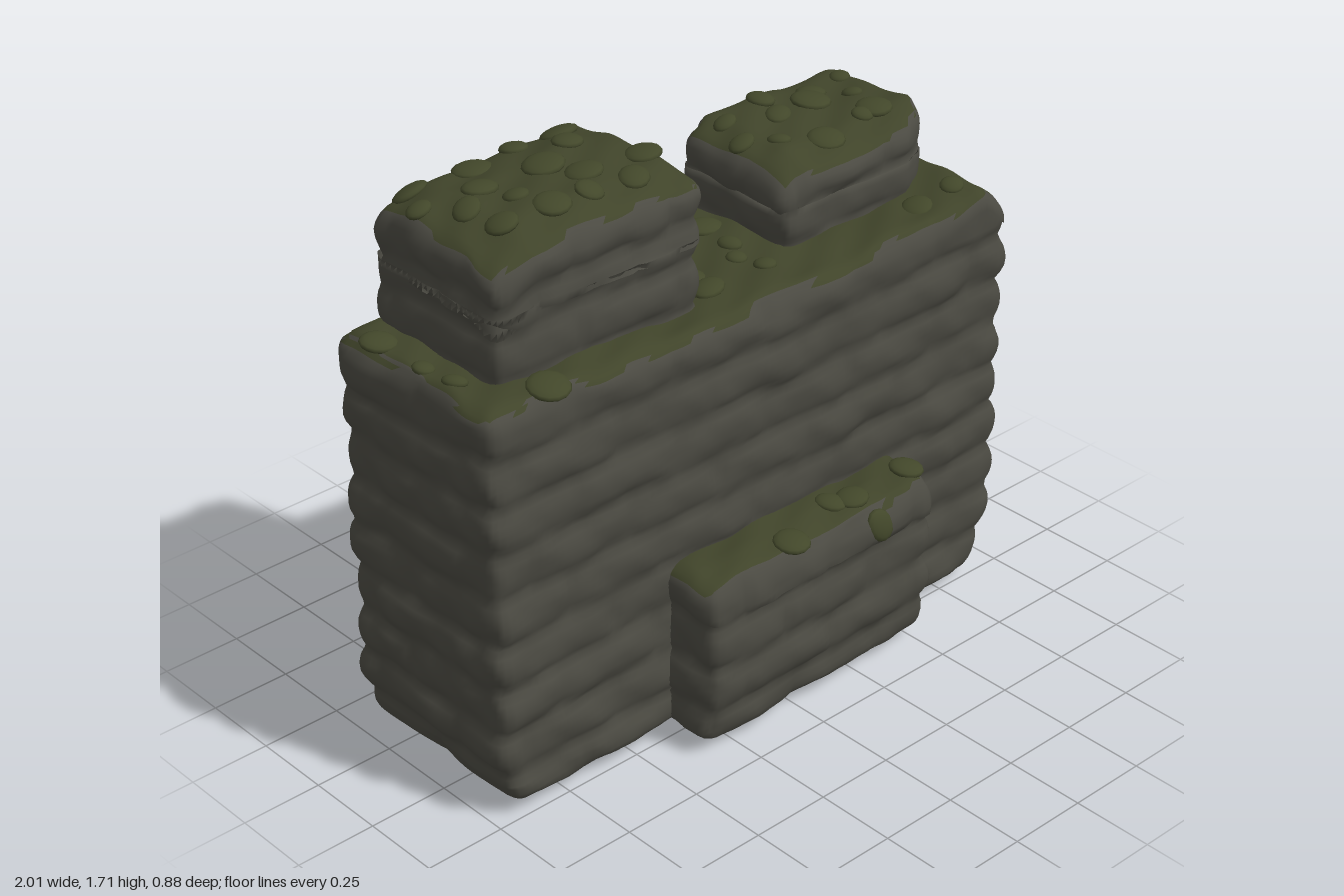
import * as THREE from 'three';
import { mergeVertices } from 'three/addons/utils/BufferGeometryUtils.js';

const stone = new THREE.MeshStandardMaterial({ color: 0x4b4a42 });
stone.name = 'dark stone';
const moss = new THREE.MeshStandardMaterial({ color: 0x40442a });
moss.name = 'moss';
const clumpMoss = new THREE.MeshStandardMaterial({ color: 0x42472a });
clumpMoss.name = 'moss clump';

const ROW = 0.142, BRICK = 0.34;
const { clamp, lerp } = THREE.MathUtils;
const fract = (v) => v - Math.floor(v);
const hash = (n) => fract(Math.sin(n * 127.1 + 3.7) * 43758.5453);

// Soft unevenness of the stone, about -1 to 1
function lumps(x, y, z) {
  return 0.4 * Math.sin(x * 7.1 + y * 3.3 + z * 5) + 0.35 * Math.sin(y * 11.3 - x * 9.7 + z * 8)
    + 0.25 * Math.sin(x * 19 + z * 23 + y * 13);
}

// Height of the masonry surface: bulging courses, staggered joints, uneven bricks
function masonry(x, y, z, along) {
  const level = y / ROW + 0.06 * Math.sin(along * 5 + 1) + 0.08 * lumps(x * 2, y, z * 2);
  const row = Math.floor(level);
  const brick = along / BRICK + 0.5 * (row % 2) + 0.3 * hash(row);
  const course = 1 - Math.pow(Math.abs(2 * fract(level) - 1), 2.5);
  const joint = Math.pow(Math.abs(2 * fract(brick) - 1), 8);
  const strength = 0.021 + 0.008 * lumps(z * 2, x * 2, y * 2);
  return course * (strength - 0.01 * joint + 0.01 * (hash(row * 17 + Math.floor(brick)) - 0.5))
    + 0.006 * lumps(x, y, z) + 0.004 * lumps(y * 3, z * 3, x * 3) - 0.014;
}

// Rounded masonry block between two corners, with moss on its upward faces
function block(name, min, max, radius, shape) {
  const lo = new THREE.Vector3(...min), hi = new THREE.Vector3(...max);
  const size = hi.clone().sub(lo), mid = hi.clone().add(lo).multiplyScalar(0.5);
  const seg = size.toArray().map((s) => Math.ceil(s / 0.022));
  let geo = new THREE.BoxGeometry(size.x, size.y, size.z, ...seg);
  geo.deleteAttribute('normal');
  geo.deleteAttribute('uv');
  geo.clearGroups();
  geo = mergeVertices(geo, 1e-4);
  const pos = geo.attributes.position;
  const p = new THREE.Vector3(), core = new THREE.Vector3(), n = new THREE.Vector3();
  const inner = size.clone().multiplyScalar(0.5).subScalar(radius);
  const innerLow = inner.clone().negate();
  for (let i = 0; i < pos.count; i++) {
    p.fromBufferAttribute(pos, i);
    core.copy(p).clamp(innerLow, inner);
    n.copy(p).sub(core).normalize();
    p.copy(core).addScaledVector(n, radius).add(mid);
    const { x, y, z } = p;
    const along = Math.abs(n.x) > Math.abs(n.z) ? z + 0.4 : x;
    const out = masonry(x, y, z, along);
    p.x += n.x * out;
    p.z += n.z * out;
    p.y += n.y * 0.014 * lumps(x * 1.4, 0, z * 1.6);
    shape(p);
    pos.setXYZ(i, p.x, p.y, p.z);
  }
  // Sort the faces: upward ones are mossy
  const stoneFaces = [], mossFaces = [], idx = geo.index.array;
  const tri = new THREE.Triangle();
  for (let i = 0; i < idx.length; i += 3) {
    tri.setFromAttributeAndIndices(pos, idx[i], idx[i + 1], idx[i + 2]);
    tri.getNormal(n);
    const isMoss = n.y > 0.72 && tri.a.y > hi.y - 0.12;
    (isMoss ? mossFaces : stoneFaces).push(idx[i], idx[i + 1], idx[i + 2]);
  }
  geo.setIndex([...stoneFaces, ...mossFaces]);
  geo.addGroup(0, stoneFaces.length, 0);
  geo.addGroup(stoneFaces.length, mossFaces.length, 1);
  geo.computeVertexNormals();
  const mesh = new THREE.Mesh(geo, [stone, moss]);
  mesh.name = name;
  return mesh;
}

// Flattened moss clump lying on a surface
const ball = new THREE.SphereGeometry(1, 14, 8);
const up = new THREE.Vector3(0, 1, 0);
function mossClump(point, normal, r, seed) {
  const clump = new THREE.Mesh(ball, clumpMoss);
  clump.name = 'mossClump';
  clump.position.copy(point);
  clump.quaternion.setFromUnitVectors(up, normal);
  clump.rotateY(hash(seed) * 6.28);
  clump.scale.set(r, 0.012 + r * 0.12, r * (0.75 + 0.3 * hash(seed + 50)));
  return clump;
}

export function createModel() {
  const model = new THREE.Group();

  // Main wall: back bowed, foot worn at both ends, top sloping steeply at its left end
  const wall = block('mainWall', [-0.985, 0.02, -0.4], [0.98, 1.28, 0.25], 0.045, (p) => {
    const wear = p.x > 0 ? 0.1 * clamp(1 - p.y / 0.32, 0, 1) : 0.06 * clamp(1 - p.y / 0.2, 0, 1);
    p.x *= 1 - wear * Math.abs(p.x);
    const corner = Math.max(0, p.x - p.z - 1.2) * clamp(1 - p.y / 0.3, 0, 1);
    p.x -= corner * 0.5;
    p.z += corner * 0.5;
    if (p.z < 0) p.z *= 1 + 0.05 * (1 - p.x * p.x);
    if (p.y < 0.1) p.y -= 0.012 * p.x;
    if (p.y > 1.2) p.y += 0.02 * (Math.abs(p.x) - 0.5) + 0.04 * clamp((p.x - 0.7) / 0.16, 0, 1)
      - 0.9 * Math.max(0, p.x - 0.88);
  });

  // Tall merlon, its top domed and falling away at the outer end
  const tall = block('tallMerlon', [-0.86, 1.2, -0.385], [-0.14, 1.68, 0.14], 0.045, (p) => {
    if (p.y > 1.5) p.y -= 0.35 * Math.max(0, -0.72 - p.x) + 0.2 * Math.max(0, -0.22 - p.z)
      + 0.3 * Math.max(0, p.z - 0.02);
  });

  // Short merlon, softly worn at one front corner
  const short = block('shortMerlon', [0.24, 1.2, -0.385], [0.88, 1.52, 0.065], 0.045, (p) => {
    const over = 0.3 * Math.max(0, p.x + p.z - 0.8);
    p.x -= over;
    p.z -= over;
    if (p.y > 1.4) p.y -= 0.4 * Math.max(0, 0.34 - p.x) + 0.3 * Math.max(0, p.z + 0.05);
  });

  // Low front step
  const step = block('frontStep', [-0.365, 0.03, 0.15], [0.53, 0.575, 0.42], 0.04, (p) => {
    if (p.z > 0.3) p.z -= 0.02 * (p.x + 0.1) + 0.03 * clamp(1 - p.y / 0.2, 0, 1);
    if (p.y > 0.45) p.y -= 0.2 * Math.max(0, p.z - 0.32);
  });
  const blocks = [wall, tall, short, step];
  model.add(...blocks);

  // Moss patches: columns and rows of clumps, then the x and z range they fill
  const patches = [
    { cols: 4, rows: 4, x: [-0.84, -0.16], z: [-0.37, 0.09] },
    { cols: 4, rows: 3, x: [0.27, 0.85], z: [-0.38, 0.0] },
    { cols: 2, rows: 5, x: [-0.1, 0.2], z: [-0.37, 0.16] },
    { cols: 1, rows: 3, x: [-0.97, -0.9], z: [-0.36, 0.1] },
    { cols: 1, rows: 1, x: [-0.78, -0.72], z: [0.19, 0.22] },
    { cols: 2, rows: 1, x: [0.68, 0.88], z: [0.1, 0.17] },
    { cols: 4, rows: 1, x: [-0.05, 0.53], z: [0.29, 0.4] },
  ];
  const clumps = new THREE.Group();
  clumps.name = 'mossClumps';
  const ray = new THREE.Raycaster();
  const down = new THREE.Vector3(0, -1, 0);
  let seed = 1;
  for (const { cols, rows, x, z } of patches) {
    for (let i = 0; i < cols * rows; i++, seed++) {
      // One clump at a loose spot in each cell, dropped onto the surface below
      const u = ((i % cols) + 0.15 + 0.7 * hash(seed)) / cols;
      const v = (Math.floor(i / cols) + 0.15 + 0.7 * hash(seed + 200)) / rows;
      ray.set(new THREE.Vector3(lerp(...x, u), 3, lerp(...z, v)), down);
      const [hit] = ray.intersectObjects(blocks);
      clumps.add(mossClump(hit.point, hit.face.normal, 0.03 + 0.032 * hash(seed + 400), seed));
    }
  }
  // Clump hanging over the front edge of the step
  const outward = new THREE.Vector3(0, 0.2, 0.98).normalize();
  clumps.add(mossClump(new THREE.Vector3(0.3, 0.5, 0.413), outward, 0.058, seed));
  model.add(clumps);

  return model;
}
